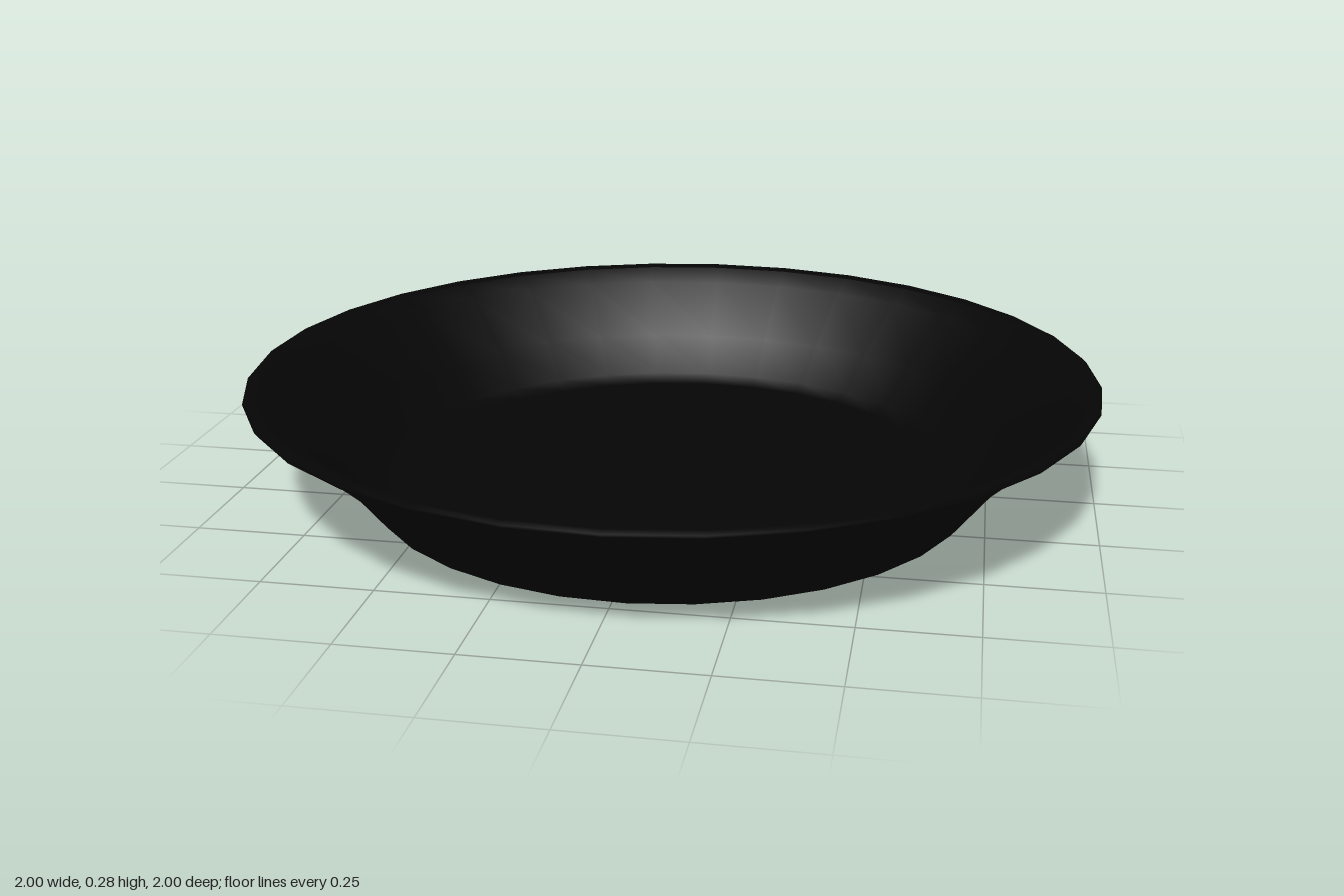
import * as THREE from 'three';

const SIDES = 32;
const TURN = 0.04; // slight rotation of the facets about the axis

export function createModel() {
  const group = new THREE.Group();
  group.name = 'shallowDish';
  const material = new THREE.MeshStandardMaterial({ color: 0x050505 });

  // Revolve a profile of [radius, height] points, listed from below to above on outer faces
  const revolve = (name, profile) => {
    const points = profile.map(([r, y]) => new THREE.Vector2(r, y));
    const mesh = new THREE.Mesh(new THREE.LatheGeometry(points, SIDES, TURN), material);
    mesh.name = name;
    group.add(mesh);
  };

  // Flat underside
  revolve('base', [[0, 0], [0.72, 0]]);

  // Flared outside wall
  revolve('outerWall', [[0.72, 0], [0.81, 0.115], [0.94, 0.235], [0.965, 0.248]]);

  // Thin rounded lip
  revolve('rim', [[0.965, 0.248], [0.995, 0.264], [1, 0.272], [0.992, 0.28], [0.97, 0.275]]);

  // Inside wall running smoothly into the floor
  revolve('bowl', [[0.97, 0.275], [0.92, 0.245], [0.79, 0.125], [0.715, 0.035], [0.66, 0.022], [0, 0.02]]);

  return group;
}
